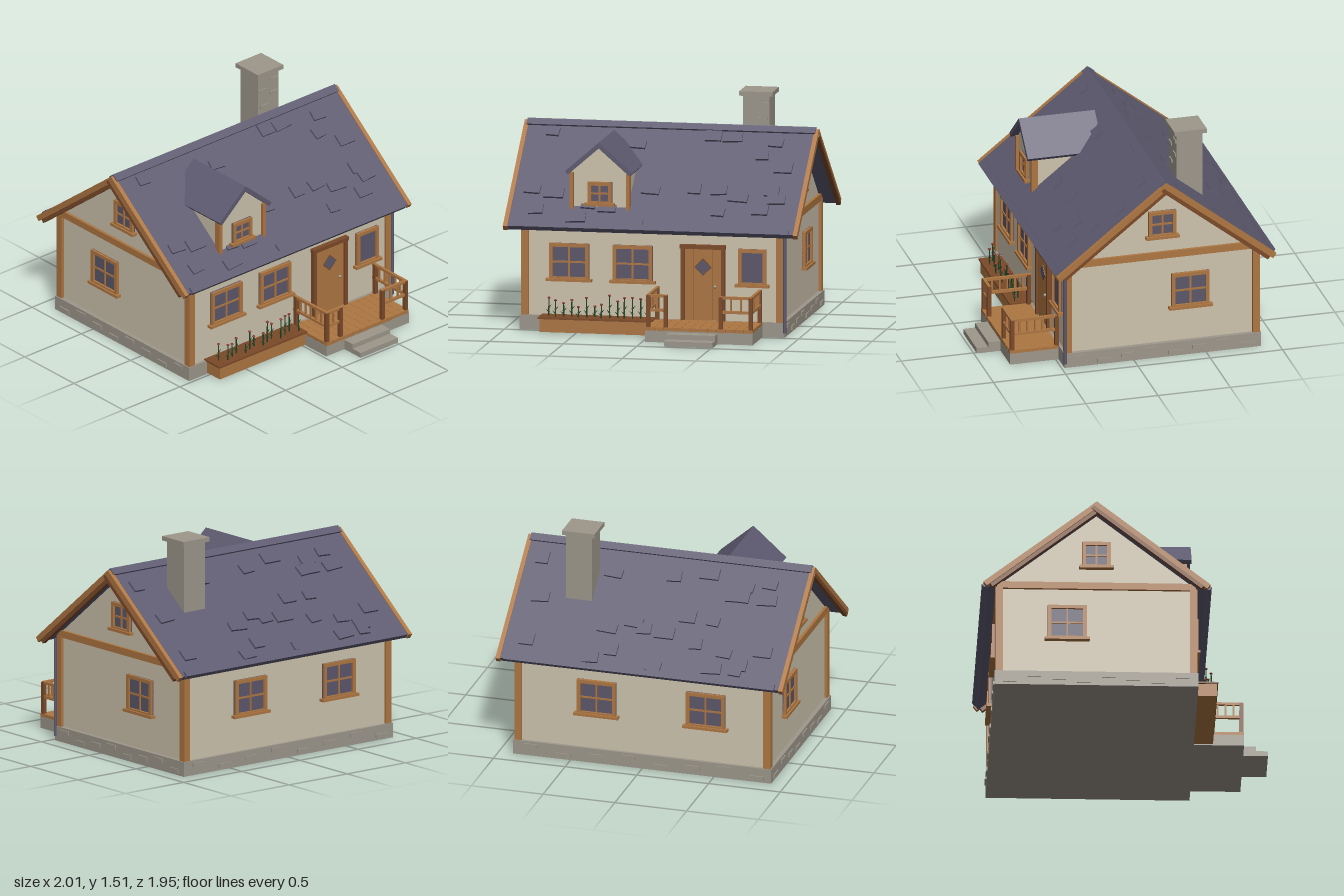
import * as THREE from 'three';

const mat = (name, color) => Object.assign(new THREE.MeshStandardMaterial({ color }), { name });
const M = {
  wall: mat('cream plaster', 0xcdc3ad),
  wood: mat('warm wood', 0xae7642),
  dark: mat('dark wood', 0x7c4a29),
  roof: mat('slate violet', 0x5e5a70),
  glass: mat('window glass', 0x5c576b),
  stone: mat('grey stone', 0x9d978b),
  leaf: mat('dark green', 0x1f4526),
  petal: mat('flower red', 0x8a3428),
};

function add(parent, name, geo, m, x = 0, y = 0, z = 0) {
  const mesh = new THREE.Mesh(geo, m);
  mesh.name = name;
  mesh.position.set(x, y, z);
  parent.add(mesh);
  return mesh;
}
// box given by its minimum and maximum corners
const box = (p, name, m, x0, x1, y0, y1, z0, z1) =>
  add(p, name, new THREE.BoxGeometry(x1 - x0, y1 - y0, z1 - z0), m, (x0 + x1) / 2, (y0 + y1) / 2, (z0 + z1) / 2);

function group(parent, name, x = 0, y = 0, z = 0, ry = 0) {
  const g = new THREE.Group();
  g.name = name;
  g.position.set(x, y, z);
  g.rotation.y = ry;
  parent.add(g);
  return g;
}

// gabled block: pentagon in x/y pulled along z
function gableGeometry(half, base, eave, apex, depth) {
  const s = new THREE.Shape([[-half, base], [half, base], [half, eave], [0, apex], [-half, eave]].map(p => new THREE.Vector2(...p)));
  return new THREE.ExtrudeGeometry(s, { depth, bevelEnabled: false });
}

// window facing +z, origin at the middle of its lower edge
function addWindow(parent, name, x, y, z, ry, w, h, cross = true) {
  const g = group(parent, name, x, y, z, ry), t = 0.024, a = w / 2;
  box(g, 'glass', M.glass, -a, a, 0, h, 0, 0.009);
  for (const s of [-1, 1]) box(g, 'frameSide', M.wood, s * (a - t / 2) - t / 2, s * (a - t / 2) + t / 2, 0, h, 0, 0.025);
  box(g, 'frameTop', M.wood, -a + t, a - t, h - t, h, 0, 0.025);
  box(g, 'frameBottom', M.wood, -a + t, a - t, 0, t, 0, 0.025);
  if (cross) {
    box(g, 'mullion', M.wood, -0.006, 0.006, t, h - t, 0, 0.017);
    box(g, 'crossbar', M.wood, -a + t, a - t, h / 2 - 0.006, h / 2 + 0.006, 0, 0.016);
  }
  box(g, 'sill', M.wood, -a - 0.02, a + 0.02, -0.006, 0.013, 0, 0.038);
}

// shingle centres as x, z pairs
const FRONT_SHINGLES = [-.79, -.12, .30, -.125, .43, -.12, .73, -.09, .815, .085, .655, 0, -.85, .29, -.70, .31, -.8, .43,
  -.05, .27, .245, .25, .41, .255, .55, .305, .77, .25, .81, .31, .435, .41, .715, .385, -.52, .48, -.45, .385, -.32, .40,
  -.1, .51, -.2, -.05];
const BACK_SHINGLES = [-.645, -.87, -.66, -.83, -.48, -.87, -.54, -.77, -.8, -.735, -.33, -.735, -.08, -.895, -.1, -.69, .045, -.68,
  .125, -.65, .23, -.825, .36, -.885, .295, -.70, .82, -.82, .805, -.56, -.41, -.59, -.23, -.58, -.735, -.43, -.73, -.335,
  -.55, -.425, -.49, -.43, -.57, -.365, -.3, -.31, -.065, -.35, .35, -.37, .86, -.33];

function addRoof(house) {
  const tan = 0.79, a = Math.atan(tan), L = 0.955;
  for (const side of [1, -1]) {
    // local z runs down the slope, y is its normal
    const g = group(house, side > 0 ? 'frontRoof' : 'backRoof', 0, 1.30, -0.2);
    g.rotation.set(a, side > 0 ? 0 : Math.PI, 0, 'YXZ');
    box(g, 'roofSlab', M.roof, -0.97, 0.97, -0.035, 0, 0, L);
    box(g, 'ridgeCap', M.roof, -0.98, 0.98, -0.004, 0.012, -0.01, 0.045);
    box(g, 'eaveStrip', M.roof, -0.94, 0.94, -0.012, 0.014, 0.92, 0.967);
    for (const s of [-1, 1]) {
      const b = group(g, 'bargeBoards', s * 0.985, 0, 0);
      box(b, 'outerBoard', M.wood, -0.015, 0.015, -0.034, 0.004, 0, L + 0.008);
      box(b, 'innerBoard', M.dark, -0.022, 0.007, -0.06, -0.034, 0, L - 0.02);
    }
    const list = side > 0 ? FRONT_SHINGLES : BACK_SHINGLES;
    for (let i = 0; i < list.length; i += 2) {
      const w = 0.085 + 0.012 * (i % 5), d = 0.07 + 0.009 * (i % 3);
      const m = add(g, 'shingle', new THREE.BoxGeometry(w, 0.018, d), M.roof,
        side * list[i], 0.005, Math.abs(list[i + 1] + 0.2) / Math.cos(a));
      m.rotation.y = 0.07 * ((i / 2) % 3 - 1);
    }
  }
}

function addDormer(house) {
  const g = group(house, 'dormer', -0.37, 0, 0), a = Math.atan(0.87);
  add(g, 'dormerWall', gableGeometry(0.19, 0.8, 1.068, 1.233, 0.395), M.wall);
  for (const s of [-1, 1]) {
    const r = group(g, 'dormerRoofSide', 0, 1.272, 0);
    r.rotation.z = -s * a;
    box(r, 'dormerSlab', M.roof, Math.min(0, s * 0.305), Math.max(0, s * 0.305), -0.03, 0, -0.08, 0.445);
    box(g, 'dormerPost', M.wood, s * 0.192 - 0.013, s * 0.192 + 0.013, 0.8, 1.06, 0.37, 0.415);
  }
  addWindow(g, 'dormerWindow', 0, 0.845, 0.395, 0, 0.165, 0.155);
}

function addPorch(house) {
  const g = group(house, 'porch');
  box(g, 'porchBase', M.stone, 0.02, 0.75, 0, 0.078, 0.46, 0.815);
  box(g, 'upperStep', M.stone, 0.18, 0.51, 0, 0.07, 0.8, 0.9);
  box(g, 'lowerStep', M.stone, 0.18, 0.51, 0, 0.036, 0.8, 0.98);
  const n = 12, pw = 0.73 / n;
  for (let i = 0; i < n; i++) box(g, 'deckPlank', M.wood, 0.02 + i * pw + 0.001, 0.02 + (i + 1) * pw - 0.001, 0.075, 0.1, 0.47, 0.815);
  // railings
  const post = (x, z) => box(g, 'railPost', M.dark, x - 0.013, x + 0.013, 0.1, 0.315, z - 0.013, z + 0.013);
  const rail = (x0, z0, x1, z1, count) => {
    for (const y of [0.215, 0.312]) box(g, 'rail', M.wood, x0 - 0.01, x1 + 0.01, y - 0.009, y + 0.009, z0 - 0.01, z1 + 0.01);
    for (let i = 1; i <= count; i++) {
      const t = i / (count + 1), x = x0 + (x1 - x0) * t, z = z0 + (z1 - z0) * t;
      box(g, 'baluster', M.wood, x - 0.006, x + 0.006, 0.22, 0.305, z - 0.006, z + 0.006);
    }
  };
  for (const [x0, x1, n, side] of [[0.038, 0.157, 1, 0.038], [0.53, 0.735, 2, 0.735]]) {
    post(x0, 0.798); post(x1, 0.798); post(side, 0.49);
    rail(x0, 0.798, x1, 0.798, n);
    rail(side, 0.48, side, 0.798, 5);
  }
}

function addDoor(house) {
  const g = group(house, 'door', 0.345, 0.1, 0.46);
  for (let i = 0; i < 4; i++) box(g, 'doorPlank', M.wood, -0.125 + i * 0.0625 + 0.0012, -0.125 + (i + 1) * 0.0625 - 0.0012, 0, 0.49, 0, 0.015);
  for (const s of [-1, 1]) box(g, 'doorJamb', M.dark, s * 0.137 - 0.013, s * 0.137 + 0.013, 0, 0.485, 0, 0.03);
  box(g, 'doorHead', M.dark, -0.155, 0.155, 0.483, 0.51, 0, 0.036);
  const d = group(g, 'diamondWindow', 0, 0.36, 0.015);
  d.rotation.z = Math.PI / 4;
  box(d, 'diamondFrame', M.dark, -0.042, 0.042, -0.042, 0.042, -0.004, 0.003);
  box(d, 'diamondGlass', M.glass, -0.037, 0.037, -0.037, 0.037, 0, 0.005);
  add(g, 'doorKnob', new THREE.SphereGeometry(0.011, 12, 8), M.stone, 0.083, 0.23, 0.025);
}

function addPlanter(house) {
  const g = group(house, 'planter');
  box(g, 'planterBox', M.wood, -0.74, 0.018, 0.008, 0.1, 0.46, 0.608);
  box(g, 'planterRim', M.dark, -0.75, 0.025, 0.096, 0.108, 0.46, 0.617);
  const tops = [.23, .22, .2, .22, .18, .24, .18, .2, .26, .22, .25, .25, .24, .24];
  tops.forEach((top, i) => {
    const f = group(g, 'flower', -0.69 + i * 0.052, 0.1, 0.555 + 0.018 * ((i * 2) % 3 - 1)), h = top - 0.1;
    add(f, 'stem', new THREE.CylinderGeometry(0.004, 0.005, h, 6), M.leaf, 0, h / 2, 0);
    for (const s of [-1, 1]) {
      const leaf = add(f, 'leaf', new THREE.ConeGeometry(0.007, 0.035, 5), M.leaf, s * 0.009, h * (0.45 + s * 0.12), 0);
      leaf.rotation.z = -s * 0.8;
    }
    add(f, 'bloom', new THREE.SphereGeometry(0.011, 8, 6), M.petal, 0, h, 0).scale.y = 0.6;
  });
}

function addChimney(house) {
  const g = group(house, 'chimney', 0.54, 0, -0.46);
  box(g, 'chimneyStack', M.stone, -0.09, 0.09, 0.95, 1.49, -0.09, 0.09);
  box(g, 'chimneyCap', M.stone, -0.113, 0.113, 1.485, 1.515, -0.113, 0.113);
  for (const [x, y] of [[-0.055, 1.37], [0.05, 1.43], [0.045, 1.33], [-0.04, 1.25]])
    box(g, 'chimneyBrick', M.stone, x - 0.033, x + 0.033, y - 0.01, y + 0.01, 0.08, 0.098);
}

export function createModel() {
  const house = new THREE.Group();
  house.name = 'cottage';

  // foundation with a few raised stones
  box(house, 'foundation', M.stone, -0.9, 0.9, 0, 0.1, -0.88, 0.48);
  for (let i = 0; i < 8; i++) {
    const y = 0.03 + 0.02 * ((i * 2) % 3), x = -0.8 + i * 0.225, z = -0.78 + i * 0.165;
    box(house, 'foundationStone', M.stone, x - 0.05, x + 0.05, y - 0.014, y + 0.014, -0.888, -0.87);
    for (const s of [-1, 1]) box(house, 'foundationStone', M.stone, s * 0.899 - 0.009, s * 0.899 + 0.009, y - 0.014, y + 0.014, z - 0.045, z + 0.045);
  }

  // walls with timber corners and beams
  const walls = add(house, 'walls', gableGeometry(0.66, 0.1, 0.738, 1.26, 1.74), M.wall, -0.87, 0, -0.2);
  walls.rotation.y = Math.PI / 2;
  for (const s of [-1, 1]) {
    for (const z of [-0.85, 0.45]) box(house, 'cornerPost', M.wood, s * 0.867 - 0.025, s * 0.867 + 0.025, 0.1, 0.72, z - 0.025, z + 0.025);
    box(house, 'gableBeam', M.wood, s * 0.877 - 0.013, s * 0.877 + 0.013, 0.712, 0.76, -0.865, 0.465);
    const zb = -0.2 + s * 0.663;
    box(house, 'eaveBeam', M.wood, -0.88, 0.88, 0.68, 0.72, zb - 0.01, zb + 0.01);
    addWindow(house, 'sideWindow', s * 0.87, 0.34, -0.395, s * Math.PI / 2, 0.26, 0.25);
    addWindow(house, 'gableWindow', s * 0.87, 0.868, -0.2, s * Math.PI / 2, 0.19, 0.19);
  }
  for (const x of [-0.565, -0.133]) addWindow(house, 'frontWindow', x, 0.34, 0.46, 0, 0.27, 0.25);
  addWindow(house, 'narrowWindow', 0.68, 0.34, 0.46, 0, 0.19, 0.25, false);
  for (const x of [0.32, -0.44]) addWindow(house, 'backWindow', x, 0.34, -0.86, Math.PI, 0.27, 0.25);

  addRoof(house);
  addDormer(house);
  addChimney(house);
  addDoor(house);
  addPorch(house);
  addPlanter(house);
  add(house, 'downpipe', new THREE.CylinderGeometry(0.011, 0.011, 0.67, 10), M.roof, 0.9, 0.365, 0.475);
  return house;
}
